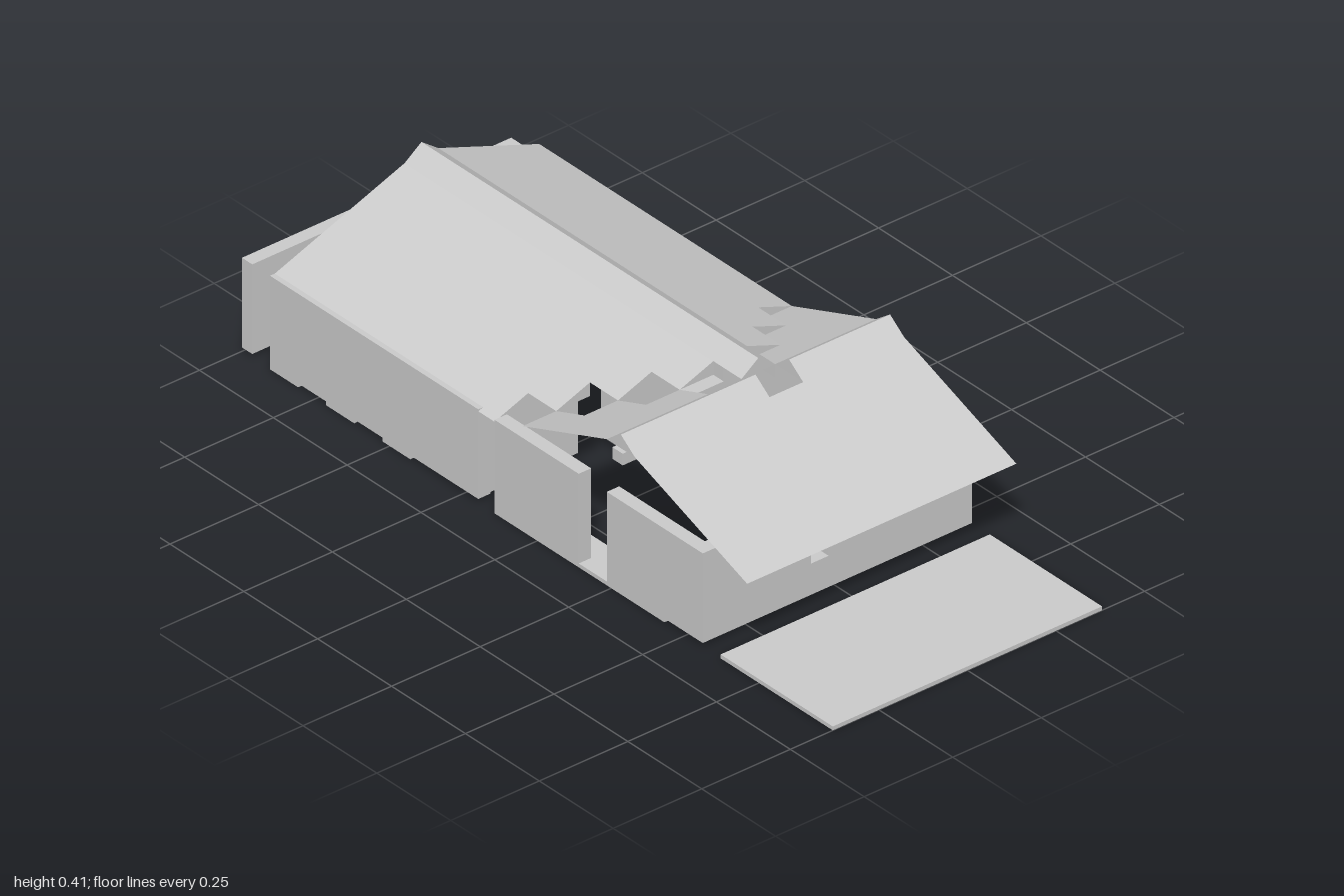
import * as THREE from 'three';

const S = 0.095;              // grid cell
const RISE = 0.035;           // roof drop per cell
const WALL_LOW = 0.01, WALL_TOP = 0.24, T = 0.035;
const RIDGE_BASE = 0.375, RIDGE_TOP = 0.41;
const BACK = -0.905, CROSS_Z = 0.235;

export function createModel() {
  const model = new THREE.Group();
  const solid = new THREE.MeshStandardMaterial({ color: 0xcccccc, flatShading: true });
  const thin = new THREE.MeshStandardMaterial({ color: 0xcccccc, flatShading: true, side: THREE.DoubleSide });

  const part = (name) => {
    const g = new THREE.Group();
    g.name = name;
    model.add(g);
    return g;
  };
  const add = (group, name, geometry, material) => {
    const m = new THREE.Mesh(geometry, material);
    m.name = name;
    group.add(m);
    return m;
  };
  // box given by its limits
  const box = (group, name, x0, x1, y0, y1, z0, z1) => {
    const m = add(group, name, new THREE.BoxGeometry(x1 - x0, y1 - y0, z1 - z0), solid);
    m.position.set((x0 + x1) / 2, (y0 + y1) / 2, (z0 + z1) / 2);
    return m;
  };
  // thin polygon from three or four corners
  const panel = (group, name, ...corners) => {
    const g = new THREE.BufferGeometry().setFromPoints(corners.map((c) => new THREE.Vector3(...c)));
    g.setIndex(corners.length === 4 ? [0, 1, 2, 0, 2, 3] : [0, 1, 2]);
    g.computeVertexNormals();
    return add(group, name, g, thin);
  };
  // triangular ridge cap, one cell wide, running along z
  const ridgeCap = (group, name, length) => {
    const tri = new THREE.Shape([
      new THREE.Vector2(0, RIDGE_BASE),
      new THREE.Vector2(S, RIDGE_BASE),
      new THREE.Vector2(S / 2, RIDGE_TOP),
    ]);
    return add(group, name, new THREE.ExtrudeGeometry(tri, { depth: length, bevelEnabled: false }), solid);
  };

  // Ground slabs
  const ground = part('floorPads');
  box(ground, 'frontSlab', -0.38, 0.38, 0, 0.01, 0.62, 1);
  const pads = [ // x start, z start, z end
    [0.285, -0.145, 0.14],
    [0.095, -0.145, 0.335],
    [-0.38, -0.145, 0.43],
    [-0.095, -0.715, -0.43],
    [0, -0.905, -0.81],
    [-0.19, -0.905, -0.81],
  ];
  for (let i = 0; i < 3; i++) pads.push([-0.38, BACK + 2 * i * S, BACK + (2 * i + 1) * S]);
  for (const [x, z0, z1] of pads) box(ground, 'floorPad', x, x + S, 0, 0.01, z0, z1);

  // Walls
  const walls = part('walls');
  const wall = (name, x0, x1, z0, z1) => box(walls, name, x0, x1, WALL_LOW, WALL_TOP, z0, z1);
  wall('backWall', -0.38, 0.38, -1, -1 + T);
  wall('leftWall', 0.285, 0.285 + T, BACK, 0.525);
  wall('rightWallBack', -0.38, -0.38 + T, BACK, -0.2);
  wall('rightWallMiddle', -0.38, -0.38 + T, -0.145, 0.14);
  wall('rightWallFront', -0.38, -0.38 + T, CROSS_Z, 0.525);
  wall('partitionLeft', 0, 0.38, -0.24, -0.24 + T);
  wall('partitionRight', -0.38, -S, -0.24, -0.24 + T);

  // Front wall with a small window
  const face = new THREE.Shape([[-0.38, WALL_LOW], [0.38, WALL_LOW], [0.38, WALL_TOP], [-0.38, WALL_TOP]]
    .map((p) => new THREE.Vector2(...p)));
  face.holes.push(new THREE.Path([[-0.075, 0.09], [-0.075, 0.182], [-0.025, 0.182], [-0.025, 0.09]]
    .map((p) => new THREE.Vector2(...p))));
  const front = add(walls, 'frontWall', new THREE.ExtrudeGeometry(face, { depth: T, bevelEnabled: false }), solid);
  front.position.z = 0.525;

  // Main roof: ridge cap, then columns stepping down on each side
  const mainRoof = part('mainRoof');
  const crossRoof = part('crossRoof');
  const gable = part('steppedGable');
  ridgeCap(mainRoof, 'mainRidge', CROSS_Z - BACK).position.z = BACK;
  box(gable, 'gableStep', 0, S, WALL_TOP, RIDGE_BASE, 0.14, 0.14 + T);

  for (const side of [-1, 1]) {
    const columns = side < 0 ? 4 : 3;
    for (let i = 0; i < columns; i++) {
      const inner = side < 0 ? -i * S : (i + 1) * S;
      const outer = inner + side * S;
      const hi = RIDGE_BASE - i * RISE, lo = hi - RISE;
      const end = CROSS_Z - (i + 1) * S;
      panel(mainRoof, 'roofStrip', [inner, hi, BACK], [inner, hi, end], [outer, lo, end], [outer, lo, BACK]);
      panel(mainRoof, 'valleyTooth', [inner, hi, end], [inner, lo, end], [outer, lo, end]);

      // stepped wall under the slope
      if (lo > WALL_TOP) {
        box(gable, 'gableStep', Math.min(inner, outer), Math.max(inner, outer), WALL_TOP, lo, 0.14, 0.14 + T);
      }

      // rear slope of the cross roof, ending in steps along the valley
      const cells = side < 0 ? i : i + 1;
      if (cells === 0) continue;
      const zEnd = CROSS_Z - cells * S;
      const yEnd = RIDGE_BASE - cells * RISE;
      panel(crossRoof, 'rearStrip', [inner, RIDGE_BASE, CROSS_Z], [outer, RIDGE_BASE, CROSS_Z],
        [outer, yEnd, zEnd], [inner, yEnd, zEnd]);
      panel(crossRoof, 'valleyTooth', [inner, yEnd + RISE, zEnd + S], [inner, yEnd, zEnd + S], [inner, yEnd, zEnd]);
    }
  }

  // Cross roof: front slope and the ridge caps either side of the main ridge
  panel(crossRoof, 'frontSlope', [-0.38, RIDGE_BASE, 0.33], [-0.38, 0.235, 0.71],
    [0.38, 0.235, 0.71], [0.38, RIDGE_BASE, 0.33]);
  for (const [x0, x1] of [[-0.38, 0], [S, 0.38]]) {
    const cap = ridgeCap(crossRoof, 'crossRidge', x1 - x0);
    cap.rotation.y = Math.PI / 2;
    cap.position.set(x0, 0, CROSS_Z + S);
  }

  return model;
}
